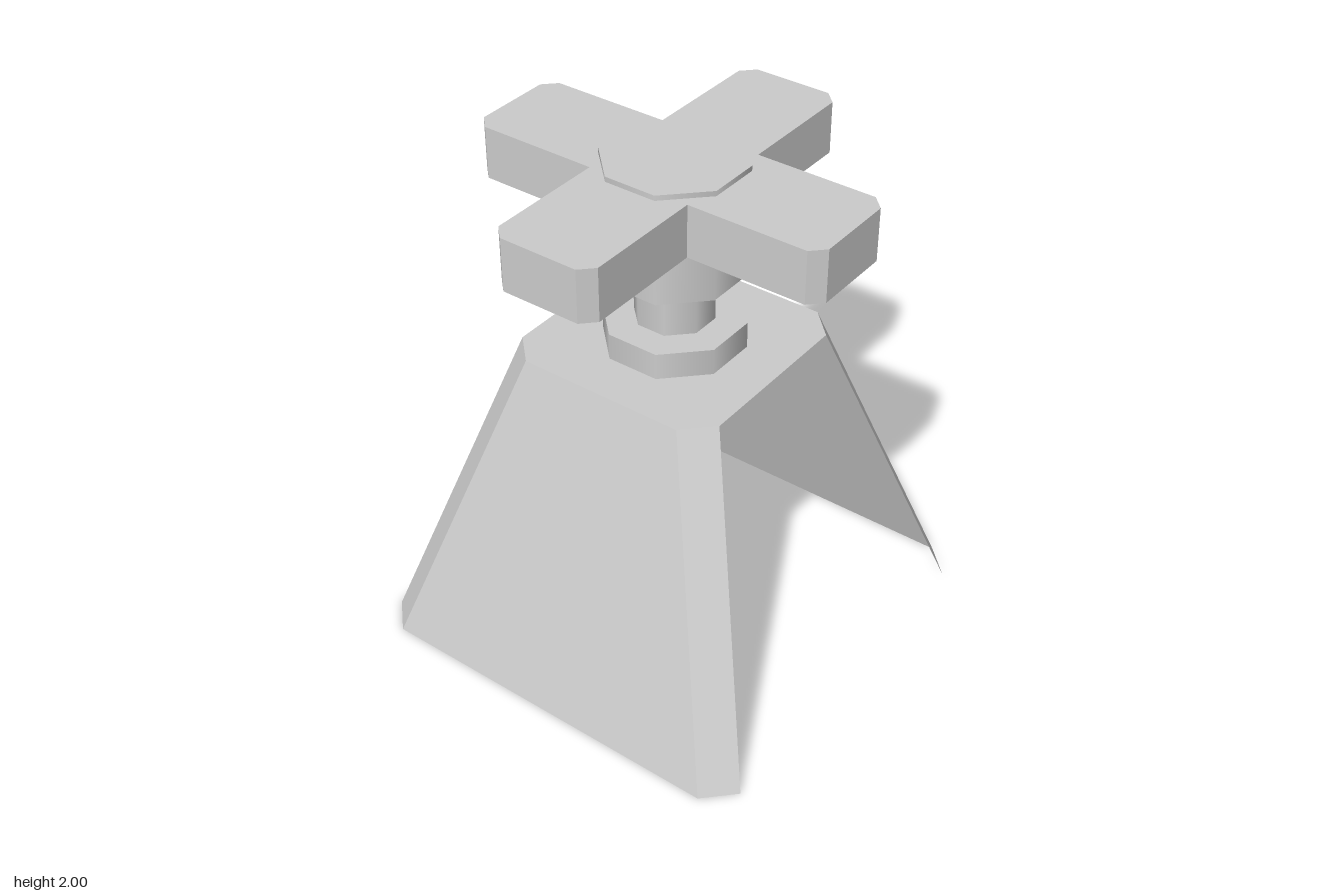
import * as THREE from 'three';

const material = new THREE.MeshStandardMaterial({ color: 0xcccccc, flatShading: true, side: THREE.DoubleSide });
const smooth = new THREE.MeshStandardMaterial({ color: 0xcccccc });

function add(parent, name, geometry, mat = material) {
  const mesh = new THREE.Mesh(geometry, mat);
  mesh.name = name;
  parent.add(mesh);
  return mesh;
}

// Flat panels joining matching [x, z] outlines at two heights
function wall(lower, y0, upper, y1) {
  const pos = [];
  for (let i = 0; i < lower.length - 1; i++) {
    const a = [lower[i][0], y0, lower[i][1]], b = [lower[i + 1][0], y0, lower[i + 1][1]];
    const c = [upper[i + 1][0], y1, upper[i + 1][1]], d = [upper[i][0], y1, upper[i][1]];
    pos.push(...a, ...b, ...c, ...a, ...c, ...d);
  }
  const g = new THREE.BufferGeometry();
  g.setAttribute('position', new THREE.Float32BufferAttribute(pos, 3));
  g.computeVertexNormals();
  return g;
}

// Horizontal lid facing up over an [x, z] outline
function lid(points, y) {
  const shape = new THREE.Shape(points.map(([x, z]) => new THREE.Vector2(x, -z)));
  return new THREE.ShapeGeometry(shape).rotateX(-Math.PI / 2).translate(0, y, 0);
}

// Square with cut corners, running from the front left corner round the back to the front right
function cutSquare(h, c) {
  return [[c, h], [h, c], [h, -c], [c, -h], [-c, -h], [-h, -c], [-h, c], [-c, h]];
}

// Eight-sided drum with flats on the axes
function drum(parent, name, apothem, y0, y1) {
  const r = apothem / Math.cos(Math.PI / 8);
  const g = new THREE.CylinderGeometry(r, r, y1 - y0, 8, 1, false, Math.PI / 8);
  add(parent, name, g.translate(0, (y0 + y1) / 2, 0), smooth);
}

export function createModel() {
  const model = new THREE.Group();
  model.name = 'valve';

  // Tapered housing, open at the front and underneath
  const housing = new THREE.Group();
  housing.name = 'housing';
  const foot = cutSquare(0.83, 0.72), crown = cutSquare(0.44, 0.335);
  add(housing, 'housingWalls', wall(foot, 0, crown, 1.25));
  add(housing, 'housingTop', lid(crown, 1.25));
  model.add(housing);

  // Spindle
  drum(model, 'flange', 0.25, 1.25, 1.355);
  drum(model, 'stem', 0.14, 1.355, 1.565);
  drum(model, 'hub', 0.25, 1.565, 2);

  // Four hollow handle arms, open below and at the hub
  const outline = [[0.17, 0.205], [0.675, 0.205], [0.725, 0.155], [0.725, -0.155], [0.675, -0.205], [0.17, -0.205]];
  const walls = wall(outline, 1.775, outline, 1.98), top = lid(outline, 1.98);
  for (let i = 0; i < 4; i++) {
    const arm = new THREE.Group();
    arm.name = 'handleArm' + (i + 1);
    add(arm, 'armWalls', walls);
    add(arm, 'armTop', top);
    arm.rotation.y = i * Math.PI / 2;
    model.add(arm);
  }
  return model;
}
